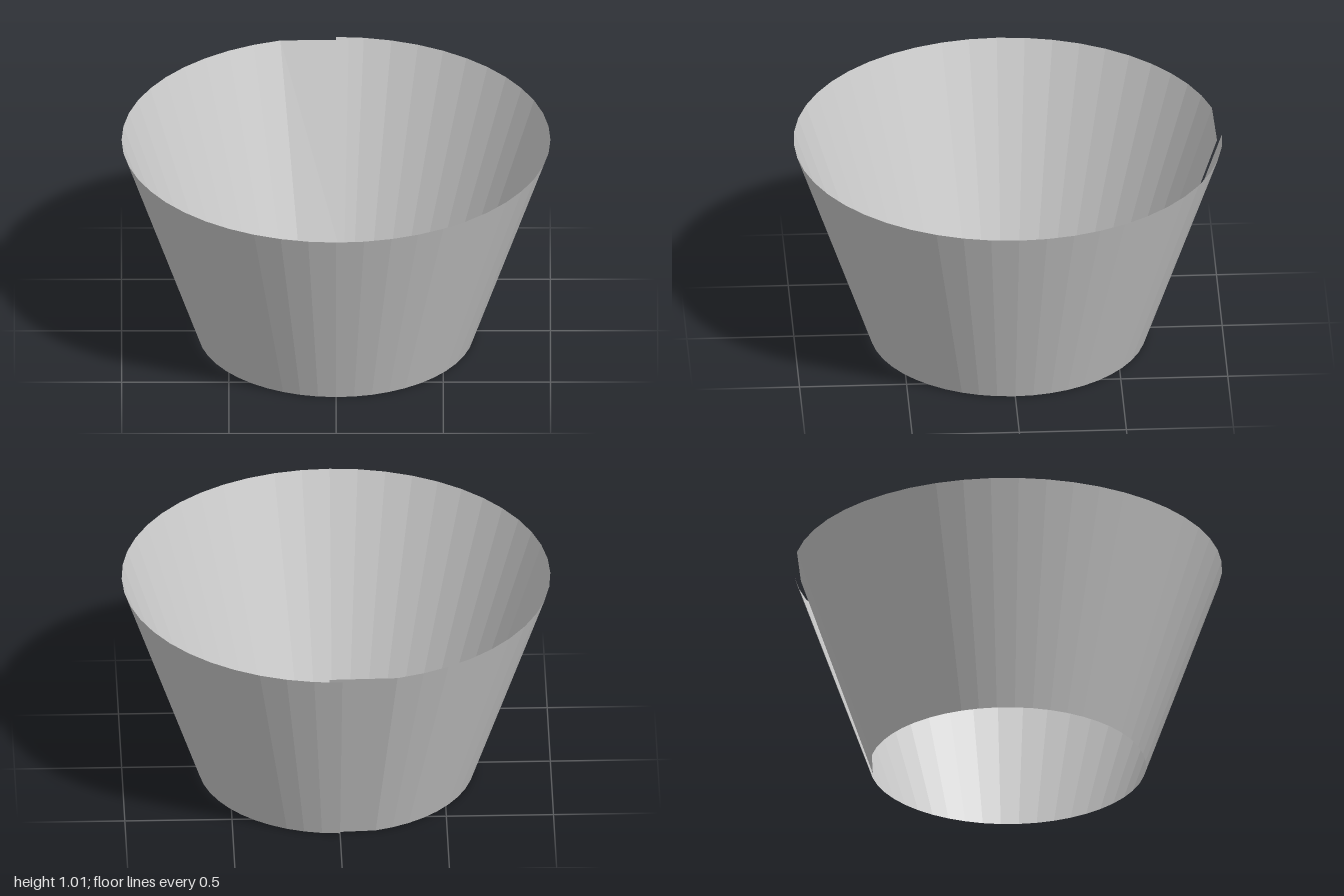
import * as THREE from 'three';

// An open conical sleeve: one thin strip wrapped round, its end tucked inside at the back.
export function createModel() {
  const topRadius = 1, bottomRadius = 0.645, height = 1.015;
  const steps = 46, stepAngle = Math.PI * 2 / 48;

  // Cross-sections as [bottom x, bottom z, top x, top z], starting at the back seam
  const sections = [];
  for (let i = 0; i <= steps; i++) {
    const s = Math.sin(i * stepAngle), c = -Math.cos(i * stepAngle);
    sections.push([s * bottomRadius, c * bottomRadius, s * topRadius, c * topRadius]);
  }
  // Flat tab that overlaps the start of the strip on the inside
  const tab = [sections[steps], [0.038, -0.634, 0.06, -0.973]];

  const strip = (name, rows) => {
    const positions = [], index = [];
    rows.forEach(([bx, bz, tx, tz], i) => {
      positions.push(bx, 0, bz, tx, height, tz);
      if (i > 0) {
        const a = 2 * (i - 1);
        index.push(a, a + 1, a + 2, a + 2, a + 1, a + 3);
      }
    });
    const indexed = new THREE.BufferGeometry();
    indexed.setAttribute('position', new THREE.Float32BufferAttribute(positions, 3));
    indexed.setIndex(index);
    const geometry = indexed.toNonIndexed();
    geometry.computeVertexNormals();
    const mesh = new THREE.Mesh(geometry, new THREE.MeshStandardMaterial({
      color: 0xcccccc, flatShading: true, side: THREE.DoubleSide,
    }));
    mesh.name = name;
    return mesh;
  };

  const group = new THREE.Group();
  group.name = 'cupSleeve';
  group.add(strip('sleeveWall', sections), strip('overlapTab', tab));
  return group;
}
